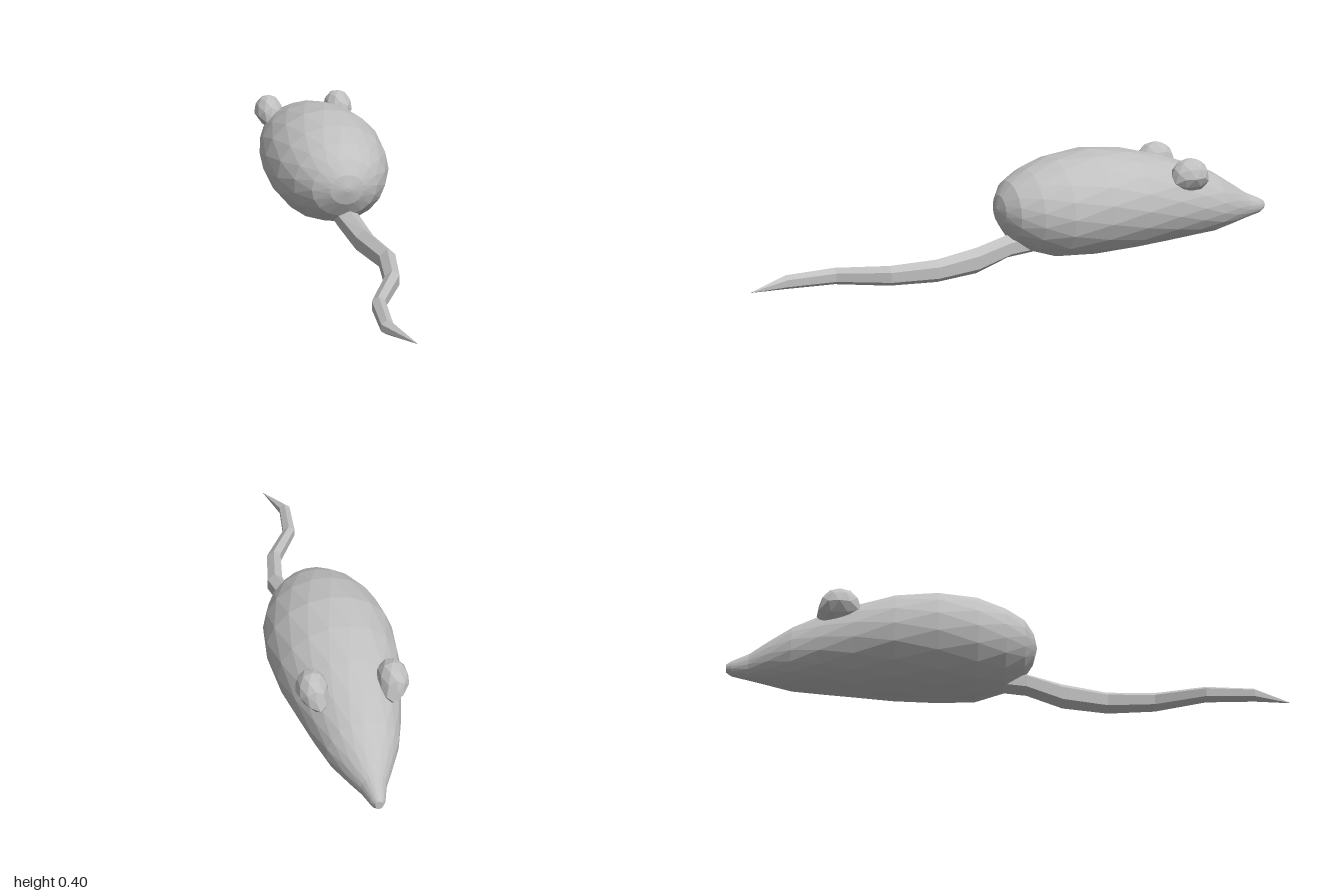
import * as THREE from 'three';

// Skins a row of oval rings {x, y, z, rx, ry}, ordered from -z to +z, closing both ends.
// stagger turns each ring by a fraction of a side for a triangulated look.
function loft(rings, sides, start, stagger) {
  const pos = [], index = [];
  rings.forEach((r, i) => {
    for (let k = 0; k < sides; k++) {
      const a = start + ((k + i * stagger) / sides) * Math.PI * 2;
      pos.push(r.x + Math.cos(a) * r.rx, r.y + Math.sin(a) * r.ry, r.z);
    }
  });
  const last = (rings.length - 1) * sides;
  const tipA = pos.length / 3, tipB = tipA + 1;
  for (const r of [rings[0], rings[rings.length - 1]]) pos.push(r.x, r.y, r.z);
  for (let k = 0; k < sides; k++) {
    const n = (k + 1) % sides;
    for (let i = 0; i < rings.length - 1; i++) {
      const a = i * sides, b = a + sides;
      index.push(a + k, a + n, b + k, a + n, b + n, b + k);
    }
    index.push(tipA, n, k, tipB, last + k, last + n);
  }
  const g = new THREE.BufferGeometry();
  g.setAttribute('position', new THREE.Float32BufferAttribute(pos, 3));
  g.setIndex(index);
  const flat = g.toNonIndexed();
  flat.computeVertexNormals();
  return flat;
}

export function createModel() {
  const group = new THREE.Group();
  const fur = new THREE.MeshStandardMaterial({ color: 0xc0c0c0, flatShading: true });
  fur.name = 'greyFur';
  const add = (name, geometry) => {
    const mesh = new THREE.Mesh(geometry, fur);
    mesh.name = name;
    group.add(mesh);
    return mesh;
  };

  // Body and pointed head: z, top, bottom, half width
  const body = [
    [-1.0, 0.122, 0.092, 0.013], [-0.98, 0.135, 0.078, 0.025], [-0.92, 0.162, 0.066, 0.044],
    [-0.85, 0.21, 0.052, 0.082], [-0.77, 0.262, 0.036, 0.122], [-0.67, 0.305, 0.031, 0.153],
    [-0.55, 0.348, 0.025, 0.184], [-0.41, 0.384, 0.018, 0.213], [-0.26, 0.4, 0.015, 0.224],
    [-0.12, 0.384, 0.02, 0.208], [-0.02, 0.352, 0.052, 0.17], [0.05, 0.312, 0.1, 0.12],
    [0.085, 0.265, 0.155, 0.062], [0.097, 0.22, 0.205, 0.01],
  ].map(([z, top, bottom, w]) => ({ x: 0, y: (top + bottom) / 2, z, rx: w, ry: (top - bottom) / 2 }));
  add('body', loft(body, 18, Math.PI / 2, 0.5));

  // Tail: a six-sided tapering strip winding along the ground
  const tail = [
    [0.01, 0.085, -0.04, 0.042, 0.042], [0.015, 0.078, 0.06, 0.042, 0.042],
    [0.037, 0.047, 0.19, 0.036, 0.047], [0.074, 0.041, 0.355, 0.033, 0.041],
    [0.046, 0.036, 0.52, 0.03, 0.036], [-0.047, 0.03, 0.69, 0.026, 0.03],
    [-0.064, 0.025, 0.86, 0.023, 0.025], [-0.005, 0.024, 1.0, 0.001, 0.001],
  ].map(([x, y, z, rx, ry]) => ({ x, y, z, rx, ry }));
  add('tail', loft(tail, 6, Math.PI / 2, 0));

  // Ears: faceted knobs narrowing into the head and trailing back at the base
  for (const side of [1, -1]) {
    const g = new THREE.IcosahedronGeometry(1, 1);
    const p = g.attributes.position;
    const v = new THREE.Vector3();
    for (let i = 0; i < p.count; i++) {
      v.fromBufferAttribute(p, i);
      const low = Math.max(0, -v.y);
      p.setXYZ(i, v.x * 0.055 - low * 0.025, v.y * 0.068, v.z * 0.073 + low * v.z * 0.04);
    }
    if (side < 0) {
      // Mirror across x and restore the corner order
      for (let i = 0; i < p.count; i += 3) {
        const c = [0, 2, 1].map((k) => new THREE.Vector3().fromBufferAttribute(p, i + k));
        c.forEach((q, k) => p.setXYZ(i + k, -q.x, q.y, q.z));
      }
    }
    g.computeVertexNormals();
    const ear = add(side > 0 ? 'leftEar' : 'rightEar', g);
    ear.position.set(side * 0.136, 0.294, -0.605);
  }
  return group;
}
